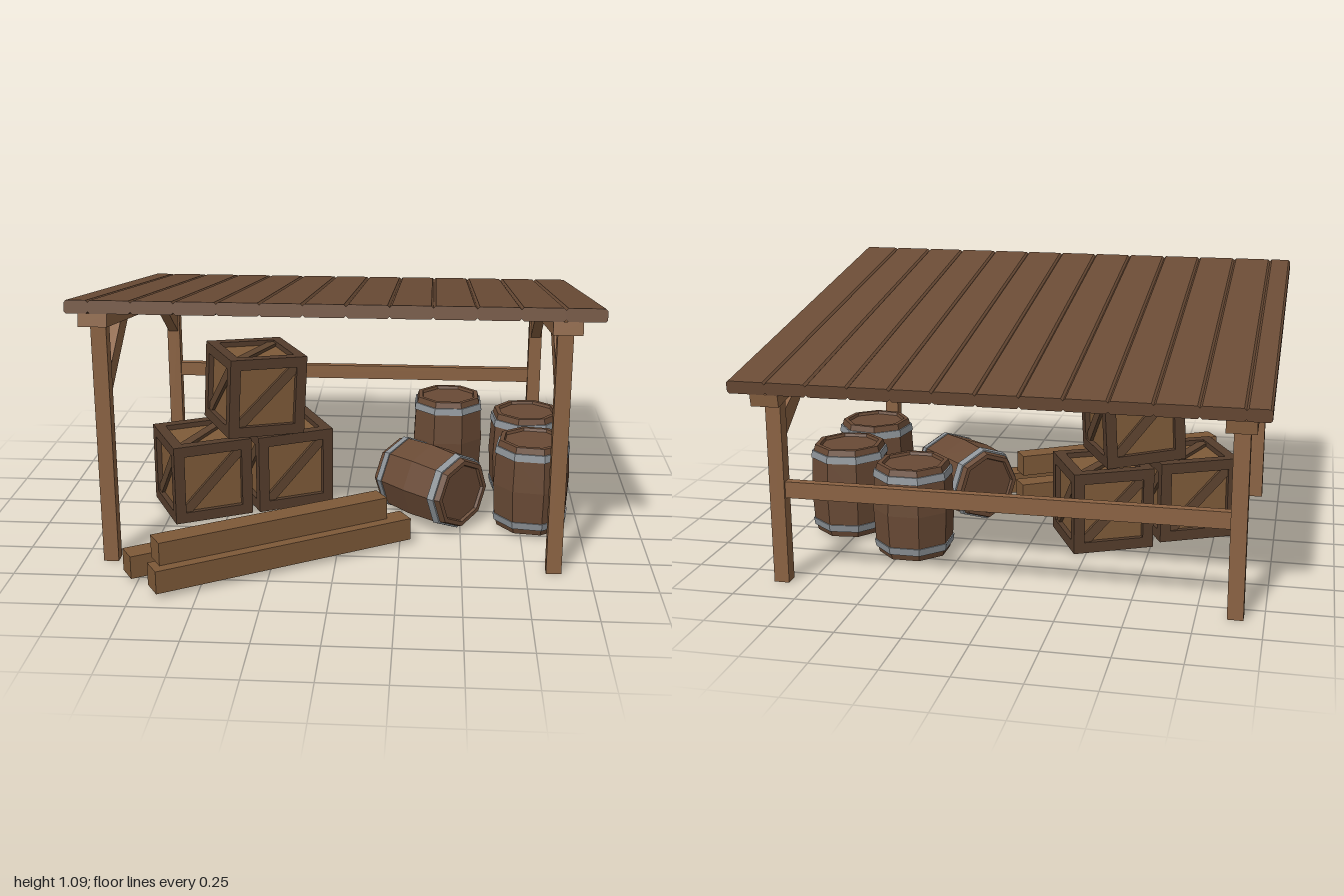
import * as THREE from 'three';

const mat = (color) => new THREE.MeshStandardMaterial({ color, flatShading: true });

export function createModel() {
  const model = new THREE.Group();
  const beamMat = mat(0x8a6242), roofMat = mat(0x6b4c36), plankMat = mat(0x7d5938);
  const frameMat = mat(0x553d2c), panelMat = mat(0x7f5b39), braceMat = mat(0x5f4530);
  const staveMat = mat(0x694a35), hoopMat = mat(0x8e9499);

  const add = (parent, name, geo, material, x = 0, y = 0, z = 0) => {
    const m = new THREE.Mesh(geo, material);
    m.name = name;
    m.position.set(x, y, z);
    parent.add(m);
    return m;
  };
  const box = (parent, name, material, size, pos) =>
    add(parent, name, new THREE.BoxGeometry(...size), material, ...pos);
  const polygon = (pts) => new THREE.Shape(pts.map(([x, y]) => new THREE.Vector2(x, y)));

  // Sloping roof: bevelled boards on two rafters
  const roof = new THREE.Group();
  roof.name = 'roof';
  roof.position.set(0, 0.932, -0.1275);
  roof.rotation.x = -0.161;
  model.add(roof);
  const roofLength = 1.648, t = 0.025, c = 0.008;
  for (let i = 0; i < 13; i++) {
    const x0 = i === 0 ? -1 : -1.07 + i * 0.16;
    const x1 = i === 12 ? 1 : -0.91 + i * 0.16;
    const shape = polygon([
      [x0 + c, -t], [x1 - c, -t], [x1, -t + c], [x1, t - c],
      [x1 - c, t], [x0 + c, t], [x0, t - c], [x0, -t + c],
    ]);
    const geo = new THREE.ExtrudeGeometry(shape, { depth: roofLength, bevelEnabled: false });
    add(roof, 'roofBoard', geo, roofMat, 0, 0, -roofLength / 2);
  }

  // Posts, rafters and diagonal braces on each side
  const frontBrace = [[0.57, 0.665], [0.57, 0.77], [0.32, 0.94], [0.2, 0.915]];
  const backBrace = [[-0.81, 0.565], [-0.81, 0.67], [-0.58, 0.79], [-0.45, 0.815]];
  for (const x of [-0.895, 0.86]) {
    box(roof, 'rafter', beamMat, [0.11, 0.05, 1.64], [x, -0.05, 0]);
    box(model, 'frontPost', beamMat, [0.06, 0.98, 0.055], [x, 0.49, 0.583]);
    box(model, 'backPost', beamMat, [0.06, 0.76, 0.055], [x, 0.38, -0.827]);
    for (const pts of [frontBrace, backBrace]) {
      const geo = new THREE.ExtrudeGeometry(polygon(pts), { depth: 0.045, bevelEnabled: false });
      geo.translate(0, 0, -0.0225).rotateY(-Math.PI / 2);
      add(model, 'postBrace', geo, beamMat, x);
    }
  }
  box(model, 'backRail', beamMat, [1.72, 0.065, 0.035], [-0.0175, 0.378, -0.827]);

  // Crates: recessed panels, edge bars and a diagonal on every face
  const S = 0.34, W = 0.045, recess = 0.022;
  const makeCrate = (x, y, z, turn, tilt = 0) => {
    const crate = new THREE.Group();
    crate.name = 'crate';
    crate.position.set(x, y, z);
    crate.rotation.set(0, turn, tilt);
    model.add(crate);
    const core = S - 2 * recess, e = (S - W) / 2, inner = S - 2 * W;
    box(crate, 'cratePanels', panelMat, [core, core, core], [0, 0, 0]);
    for (const a of [-e, e]) for (const b of [-e, e]) {
      box(crate, 'crateEdge', frameMat, [W, S, W], [a, 0, b]);
      box(crate, 'crateEdge', frameMat, [inner, W, W], [0, a, b]);
      box(crate, 'crateEdge', frameMat, [W, W, inner], [a, b, 0]);
    }
    const h = inner / 2, d = 0.03;
    const strip = polygon([[-h, -h], [-h + d, -h], [h, h - d], [h, h], [h - d, h], [-h, -h + d]]);
    const stripGeo = new THREE.ExtrudeGeometry(strip, { depth: 0.014, bevelEnabled: false });
    stripGeo.translate(0, 0, core / 2);
    const turns = [[0, 0], [0, 1], [0, 2], [0, 3], [1, 0], [-1, 0]];
    for (const [rx, ry] of turns) {
      const m = add(crate, 'crateDiagonal', stripGeo, braceMat);
      m.rotation.set(rx * Math.PI / 2, ry * Math.PI / 2, 0);
    }
  };
  makeCrate(-0.617, 0.19, 0.05, 0.455);
  makeCrate(-0.285, 0.18, -0.13, 0.455);
  makeCrate(-0.395, 0.535, -0.05, 0.47, -0.055);

  // Barrels: eight-sided, with recessed lids and two hoops
  const lathe = (pts) => new THREE.LatheGeometry(pts.map(([r, y]) => new THREE.Vector2(r, y)), 8);
  const body = lathe([
    [0, -0.178], [0.122, -0.178], [0.126, -0.19], [0.145, -0.19], [0.158, -0.145], [0.166, 0],
    [0.158, 0.145], [0.145, 0.19], [0.126, 0.19], [0.122, 0.178], [0, 0.178],
  ]);
  const hoop = lathe([[0.15, -0.015], [0.159, -0.015], [0.164, 0.015], [0.15, 0.015], [0.15, -0.015]]);
  const makeBarrel = (x, y, z, spin) => {
    const barrel = new THREE.Group();
    barrel.name = 'barrel';
    barrel.position.set(x, y, z);
    barrel.rotation.y = spin;
    model.add(barrel);
    add(barrel, 'barrelBody', body, staveMat);
    add(barrel, 'lowerHoop', hoop, hoopMat, 0, -0.15, 0);
    add(barrel, 'upperHoop', hoop, hoopMat, 0, 0.15, 0).rotation.x = Math.PI;
    return barrel;
  };
  makeBarrel(0.795, 0.205, 0.135, 0.25);
  makeBarrel(0.79, 0.205, -0.235, 0.5);
  makeBarrel(0.445, 0.205, -0.44, 0.4);
  const lying = makeBarrel(0.37, 0.17, 0.09, 0);
  lying.name = 'lyingBarrel';
  lying.quaternion.setFromUnitVectors(
    new THREE.Vector3(0, 1, 0), new THREE.Vector3(0.73, 0, 0.68).normalize());

  // Stacked timbers: left end centre, height and length of each
  const angle = 0.545;
  const timbers = [[-0.793, 0.068, 0.773, 1.1], [-0.67, 0.068, 0.897, 1.1], [-0.665, 0.16, 0.843, 0.98]];
  for (const [x, y, z, len] of timbers) {
    const m = box(model, 'timber', plankMat, [len, 0.092, 0.092],
      [x + Math.cos(angle) * len / 2, y, z - Math.sin(angle) * len / 2]);
    m.rotation.y = angle;
  }
  return model;
}
